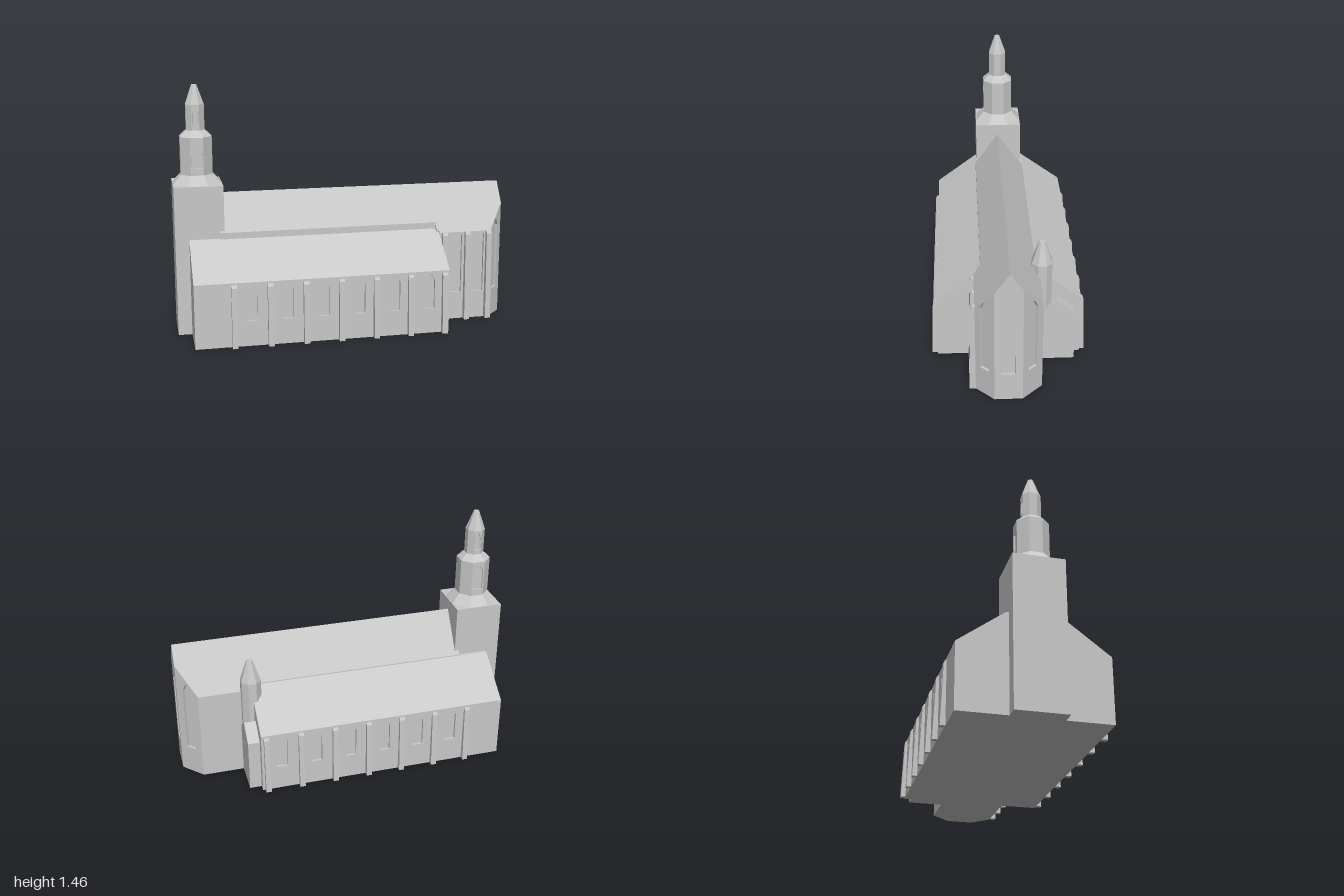
import * as THREE from 'three';

const stone = new THREE.MeshStandardMaterial({ color: 0xc8c8c8 });
stone.name = 'pale grey stone';

const RIDGE_Z = 0.012;
const roofY = (z) => 0.82 - 1.44 * Math.abs(z - RIDGE_Z);
const shapeOf = (pts) => new THREE.Shape(pts.map(([x, y]) => new THREE.Vector2(x, y)));
const extrude = (shape, depth) => new THREE.ExtrudeGeometry(shape, { depth, bevelEnabled: false });

function part(parent, name, geometry) {
  const mesh = new THREE.Mesh(geometry, stone);
  mesh.name = name;
  parent.add(mesh);
  return mesh;
}

// A (z, y) cross-section carried along x.
function prism(parent, name, section, x0, x1) {
  const geo = extrude(shapeOf(section), x1 - x0).rotateY(-Math.PI / 2).translate(x1, 0, 0);
  return part(parent, name, geo);
}

// A plan outline of [x, z] points between two height rules.
function planSolid(parent, name, plan, bottom, top) {
  const geo = extrude(shapeOf(plan.map(([x, z]) => [x, -z])), 1).rotateX(-Math.PI / 2);
  const p = geo.attributes.position;
  for (let i = 0; i < p.count; i++) p.setY(i, (p.getY(i) > 0.5 ? top : bottom)(p.getZ(i)));
  geo.computeVertexNormals();
  return part(parent, name, geo);
}

// Pointed window opening centred at u along a wall.
function lancet(u, w, sill, shoulder, tip) {
  const h = w / 2;
  return [[u - h, sill], [u + h, sill], [u + h, shoulder], [u + w * 0.12, tip],
    [u - w * 0.12, tip], [u - h, shoulder]];
}

// Wall skin from a to b ([x, z], outside on the right-hand side), with real openings.
function wall(parent, name, a, b, y0, tops, openings = [], t = 0.02) {
  const dx = b[0] - a[0], dz = b[1] - a[1], len = Math.hypot(dx, dz);
  const shape = shapeOf([[0, y0], [len, y0], ...tops.map(([f, y]) => [f * len, y]).reverse()]);
  for (const o of openings) {
    shape.holes.push(new THREE.Path(o.map(([x, y]) => new THREE.Vector2(x, y))));
  }
  const mesh = part(parent, name, extrude(shape, t).translate(0, 0, -t));
  mesh.position.set(a[0], 0, a[1]);
  mesh.rotation.y = Math.atan2(-dz, dx);
  return mesh;
}

// Faceted eight-sided stage; sizes are measured to the flats.
function octagon(parent, name, x, z, y0, y1, r0, r1) {
  const k = 1 / Math.cos(Math.PI / 8);
  const geo = new THREE.CylinderGeometry(r1 * k, r0 * k, y1 - y0, 8)
    .rotateY(Math.PI / 8).toNonIndexed();
  geo.computeVertexNormals();
  geo.translate(x, (y0 + y1) / 2, z);
  return part(parent, name, geo);
}

// Octagonal lantern with windows in the front and back faces.
function lantern(parent, name, x, z, y0, y1, r, win) {
  const group = new THREE.Group();
  group.name = name;
  parent.add(group);
  octagon(group, name + 'Core', x, z, y0, y1, r - 0.012, r - 0.012);
  const R = r / Math.cos(Math.PI / 8), side = 2 * r * Math.tan(Math.PI / 8);
  for (let i = 0; i < 8; i++) {
    const corner = (s) => {
      const ang = i * Math.PI / 4 + s * Math.PI / 8;
      return [x + R * Math.sin(ang), z + R * Math.cos(ang)];
    };
    const holes = i % 4 === 0 ? [lancet(side / 2, ...win)] : [];
    wall(group, name + 'Face', corner(-1), corner(1), y0, [[0, y1], [1, y1]], holes, 0.013);
  }
}

export function createModel() {
  const church = new THREE.Group();
  church.name = 'church';

  // Aisles: solid core, low roof and outer walls with recessed windows
  prism(church, 'aisleCore', [[-0.405, 0], [0.4, 0], [0.4, 0.378], [-0.405, 0.378]], -0.92, 0.575);
  prism(church, 'aisleRoof', [[-0.42, 0.375], [0.415, 0.375], [0.415, 0.378], [0.155, 0.573],
    [-0.155, 0.573], [-0.42, 0.378]], -0.92, 0.575);
  const windowXs = [0, 1, 2, 3, 4, 5].map((i) => -0.596 + i * 0.2096);
  const aisleWin = [0.064, 0.15, 0.325, 0.362];
  const aisleTop = [[0, 0.378], [1, 0.378]];
  wall(church, 'frontAisleWall', [-0.92, 0.415], [0.575, 0.415], 0, aisleTop,
    windowXs.map((x) => lancet(x + 0.92, ...aisleWin)));
  wall(church, 'backAisleWall', [0.575, -0.42], [-0.92, -0.42], 0, aisleTop,
    windowXs.map((x) => lancet(0.575 - x, ...aisleWin)));

  // Aisle buttresses, leaning slightly inward
  for (let i = 0; i < 7; i++) {
    const x = -0.695 + i * 0.2065;
    for (const s of [1, -1]) {
      prism(church, 'aisleButtress', [[0.4, 0], [0.449, 0], [0.435, 0.352], [0.426, 0.367],
        [0.4, 0.367]].map(([z, y]) => [z * s, y]), x - 0.016, x + 0.016);
    }
  }

  // Nave
  prism(church, 'nave', [[-0.155, 0.5], [0.16, 0.5], [0.16, roofY(0.16)], [RIDGE_Z, 0.82],
    [-0.155, roofY(-0.155)]], -0.74, 0.575);

  // Choir with a three-sided apse: core, roof halves and walls
  const ground = () => 0;
  planSolid(church, 'choirCore', [[0.56, 0.185], [0.893, 0.185], [0.985, 0.09], [0.985, RIDGE_Z],
    [0.56, RIDGE_Z]], ground, (z) => roofY(z) - 0.003);
  planSolid(church, 'choirCore', [[0.56, RIDGE_Z], [0.985, RIDGE_Z], [0.985, -0.053],
    [0.883, -0.16], [0.56, -0.16]], ground, (z) => roofY(z) - 0.003);
  const plan = [[0.575, 0.2], [0.9, 0.2], [1, 0.098], [1, -0.06], [0.89, -0.175], [0.575, -0.175]];
  const under = (z) => roofY(z) - 0.008;
  planSolid(church, 'choirRoof', [plan[0], plan[1], plan[2], [1, RIDGE_Z], [0.575, RIDGE_Z]],
    under, roofY);
  planSolid(church, 'choirRoof', [[0.575, RIDGE_Z], [1, RIDGE_Z], plan[3], plan[4], plan[5]],
    under, roofY);
  const openings = [
    [lancet(0.105, 0.075, 0.17, 0.53, 0.54), lancet(0.245, 0.075, 0.17, 0.53, 0.54)],
    [lancet(0.071, 0.064, 0.17, 0.565, 0.61)],
    [lancet(0.079, 0.077, 0.17, 0.58, 0.615)],
    [lancet(0.08, 0.064, 0.17, 0.565, 0.61)],
    [],
  ];
  openings.forEach((holes, i) => {
    const a = plan[i], b = plan[i + 1];
    const tops = [[0, roofY(a[1])], [1, roofY(b[1])]];
    if (i === 2) tops.splice(1, 0, [(a[1] - RIDGE_Z) / (a[1] - b[1]), 0.82]);
    wall(church, 'choirWall', a, b, 0, tops, holes);
  });

  // Choir buttresses
  for (const x of [0.607, 0.75, 0.885]) {
    prism(church, 'choirButtress', [[0.185, 0], [0.235, 0], [0.222, 0.535], [0.212, 0.55],
      [0.185, 0.55]], x - 0.016, x + 0.016);
  }

  // Small gabled annex and stair turret behind the choir
  prism(church, 'annex', [[-0.38, 0], [-0.17, 0], [-0.17, 0.315], [-0.275, 0.397],
    [-0.38, 0.315]], 0.56, 0.645);
  octagon(church, 'turretShaft', 0.58, -0.187, 0.25, 0.63, 0.058, 0.058);
  octagon(church, 'turretSpire', 0.58, -0.187, 0.63, 0.762, 0.058, 0.017);

  // Tower with two stacked lanterns and a spire
  const tx = -0.858, tz = 0.007;
  prism(church, 'tower', [[-0.139, 0], [0.153, 0], [0.153, 0.885], [-0.139, 0.885]], -1, -0.715);
  octagon(church, 'towerSkirt', tx, tz, 0.885, 0.94, 0.14, 0.092);
  lantern(church, 'lowerLantern', tx, tz, 0.94, 1.16, 0.092, [0.062, 0.98, 1.1, 1.135]);
  octagon(church, 'lanternSkirt', tx, tz, 1.16, 1.197, 0.092, 0.053);
  lantern(church, 'upperLantern', tx, tz, 1.197, 1.345, 0.053, [0.036, 1.225, 1.3, 1.33]);
  octagon(church, 'spire', tx, tz, 1.345, 1.457, 0.053, 0.015);

  return church;
}
